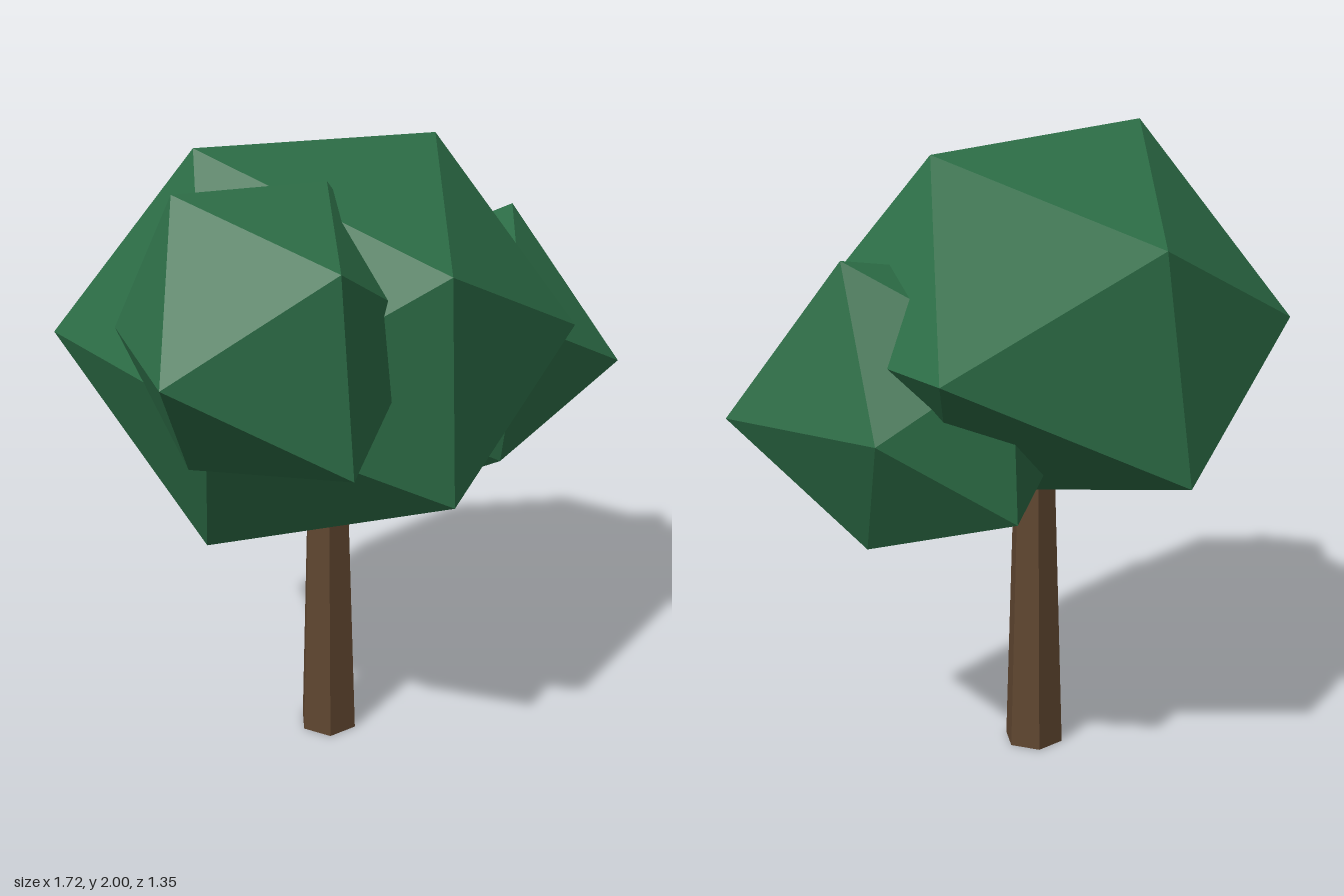
import * as THREE from 'three';

// Corner directions and faces of an icosahedron
const T = (1 + Math.sqrt(5)) / 2;
const CORNERS = [
  [-1, T, 0], [1, T, 0], [-1, -T, 0], [1, -T, 0],
  [0, -1, T], [0, 1, T], [0, -1, -T], [0, 1, -T],
  [T, 0, -1], [T, 0, 1], [-T, 0, -1], [-T, 0, 1],
];
const FACES = [
  0, 11, 5, 0, 5, 1, 0, 1, 7, 0, 7, 10, 0, 10, 11,
  1, 5, 9, 5, 11, 4, 11, 10, 2, 10, 7, 6, 7, 1, 8,
  3, 9, 4, 3, 4, 2, 3, 2, 6, 3, 6, 8, 3, 8, 9,
  4, 9, 5, 2, 4, 11, 6, 2, 10, 8, 6, 7, 9, 8, 1,
];

// Irregular clump: each icosahedron corner gets its own radius
function clumpGeometry(radii, yScale) {
  const points = CORNERS.flatMap((c, i) =>
    new THREE.Vector3(...c).setLength(radii[i]).toArray());
  const indexed = new THREE.BufferGeometry();
  indexed.setAttribute('position', new THREE.Float32BufferAttribute(points, 3));
  indexed.setIndex(FACES);
  const geometry = indexed.toNonIndexed();
  geometry.scale(1, yScale, 1);
  geometry.computeVertexNormals();
  return geometry;
}

export function createModel() {
  const tree = new THREE.Group();
  tree.name = 'tree';

  const leafGreen = new THREE.MeshStandardMaterial({ color: 0x2d6e47, flatShading: true });
  leafGreen.name = 'leaf green';
  const barkBrown = new THREE.MeshStandardMaterial({ color: 0x5f4630, flatShading: true });
  barkBrown.name = 'bark brown';

  // Tapered six-sided trunk, running up into the foliage
  const trunk = new THREE.Mesh(new THREE.CylinderGeometry(0.066, 0.098, 1, 6), barkBrown);
  trunk.name = 'trunk';
  trunk.rotation.y = Math.PI / 6;
  trunk.position.set(-0.05, 0.5, 0);
  tree.add(trunk);

  // Three overlapping foliage clumps
  const clumps = [
    { name: 'mainFoliage', at: [-0.05, 1.4, 0], yScale: 0.86,
      radii: [0.82, 0.74, 0.83, 0.63, 0.752, 0.705, 0.8, 0.66, 0.814, 0.748, 0.814, 0.75] },
    { name: 'rightFoliage', at: [-0.41, 1.54, 0.2], yScale: 1,
      radii: [0.473, 0.435, 0.443, 0.47, 0.553, 0.482, 0.45, 0.45, 0.45, 0.47, 0.39, 0.529] },
    { name: 'leftFoliage', at: [0.358, 1.2, 0], yScale: 1,
      radii: [0.45, 0.56, 0.502, 0.446, 0.405, 0.49, 0.475, 0.45, 0.402, 0.59, 0.45, 0.45] },
  ];
  for (const { name, at, yScale, radii } of clumps) {
    const clump = new THREE.Mesh(clumpGeometry(radii, yScale), leafGreen);
    clump.name = name;
    clump.position.set(...at);
    tree.add(clump);
  }

  return tree;
}
